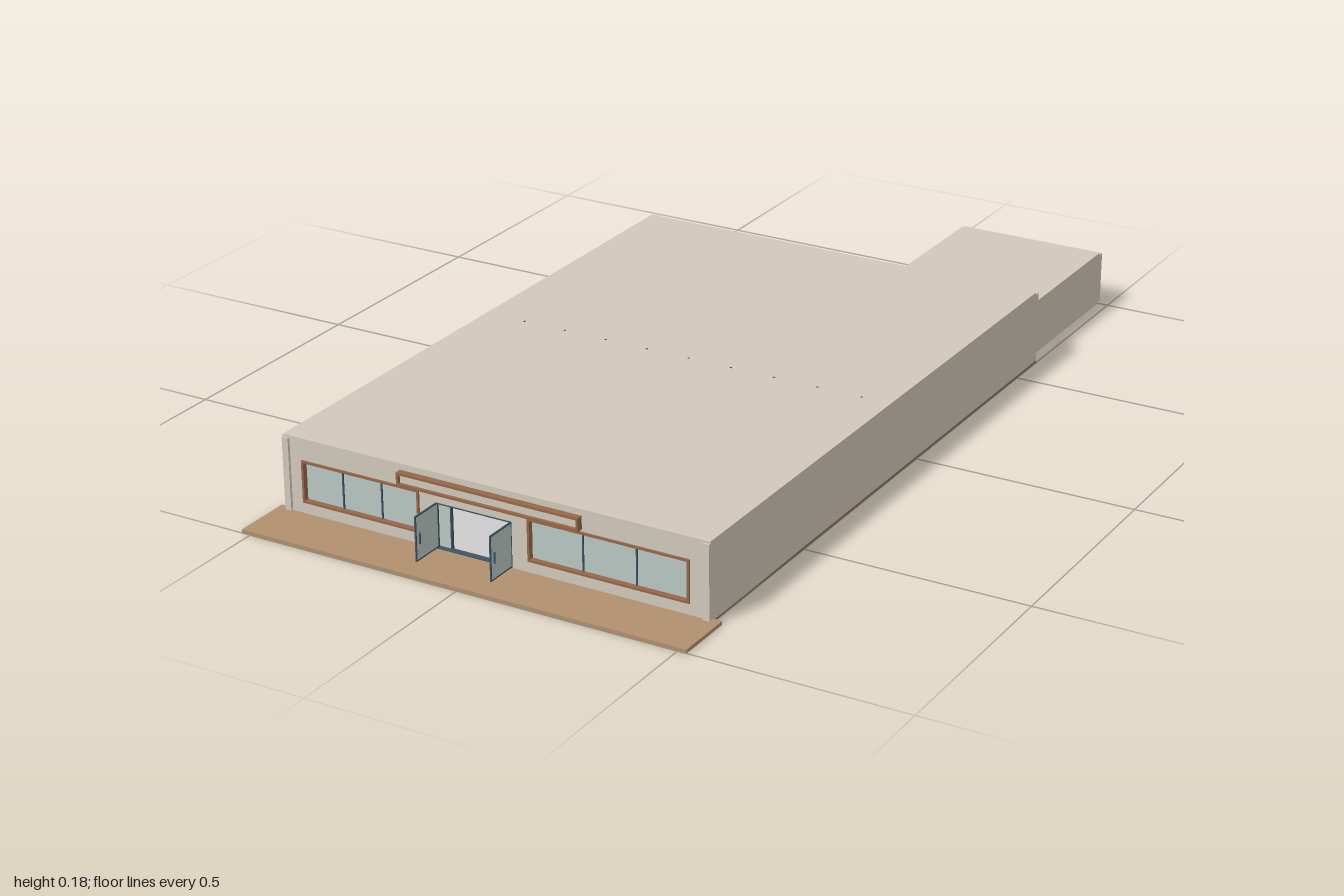
import * as THREE from 'three';

const mat = (color) => new THREE.MeshStandardMaterial({ color });
const WALL = mat(0xd1c8ba), WOOD = mat(0xb09070), TRIM = mat(0x96674a);
const GLASS = mat(0xb9c7c3), STEEL = mat(0x3f5462), TILE = mat(0xc4c4c0), FLOOR = mat(0x8f745c);

// Box given by its extents on each axis
function box(parent, name, material, [x0, x1], [y0, y1], [z0, z1]) {
  const mesh = new THREE.Mesh(new THREE.BoxGeometry(x1 - x0, y1 - y0, z1 - z0), material);
  mesh.position.set((x0 + x1) / 2, (y0 + y1) / 2, (z0 + z1) / 2);
  mesh.name = name;
  parent.add(mesh);
  return mesh;
}

function group(parent, name) {
  const g = new THREE.Group();
  g.name = name;
  parent.add(g);
  return g;
}

function rectPath(PathType, x0, x1, y0, y1) {
  const p = new PathType();
  p.moveTo(x0, y0);
  p.lineTo(x1, y0);
  p.lineTo(x1, y1);
  p.lineTo(x0, y1);
  p.closePath();
  return p;
}

// Upright panel with rectangular openings, spanning z0..z1
function panel(parent, name, material, rect, holes, z0, z1) {
  const shape = rectPath(THREE.Shape, ...rect);
  holes.forEach((h) => shape.holes.push(rectPath(THREE.Path, ...h)));
  const geo = new THREE.ExtrudeGeometry(shape, { depth: z1 - z0, bevelEnabled: false });
  const mesh = new THREE.Mesh(geo, material);
  mesh.position.z = z0;
  mesh.name = name;
  parent.add(mesh);
}

const inset = ([x0, x1, y0, y1], d) => [x0 + d, x1 - d, y0 + d, y1 - d];

export function createModel() {
  const model = new THREE.Group();
  model.name = 'shopBuilding';

  // Ground slab, porch and interior floor
  box(model, 'foundation', FLOOR, [-0.5, 0.5], [0, 0.006], [-0.6, 0.87]);
  box(model, 'porch', WOOD, [-0.52, 0.52], [0, 0.008], [0.865, 1]);
  box(model, 'interiorFloor', TILE, [-0.48, 0.48], [0.006, 0.01], [-0.58, 0.862]);

  // Shell: side walls, roof, back wall and pierced front wall
  for (const s of [-1, 1]) {
    const xs = [s * 0.485, s * 0.5].sort((a, b) => a - b);
    box(model, 'sideWall', WALL, xs, [0.004, 0.171], [-0.6, 0.88]);
  }
  box(model, 'roof', WALL, [-0.5, 0.5], [0.169, 0.176], [-0.586, 0.876]);
  box(model, 'backWall', WALL, [-0.485, 0.485], [0.004, 0.169], [-0.599, -0.584]);

  const windows = [
    { rect: [-0.456, -0.169, 0.033, 0.127], mullions: [-0.36, -0.265] },
    { rect: [0.087, 0.454, 0.033, 0.127], mullions: [0.21, 0.332] },
  ];
  const door = [-0.13, 0.049, 0.008, 0.109];
  panel(model, 'frontWall', WALL, [-0.485, 0.485, 0.006, 0.17],
    [...windows.map((w) => w.rect), door], 0.858, 0.874);

  // Shop windows
  for (const { rect, mullions } of windows) {
    const g = group(model, 'shopWindow');
    const pane = inset(rect, 0.005);
    panel(g, 'windowFrame', TRIM, rect, [pane], 0.858, 0.878);
    box(g, 'windowGlass', GLASS, pane.slice(0, 2), pane.slice(2), [0.862, 0.866]);
    for (const x of mullions) {
      box(g, 'mullion', STEEL, [x - 0.0015, x + 0.0015], pane.slice(2), [0.862, 0.869]);
    }
  }

  // Entrance: frame, sidelight and two leaves standing open
  const entrance = group(model, 'entrance');
  panel(entrance, 'doorFrame', STEEL, door, [inset(door, 0.002)], 0.86, 0.876);
  box(entrance, 'sidelight', GLASS, [-0.128, -0.1], [0.011, 0.107], [0.864, 0.867]);
  box(entrance, 'sidelightPost', STEEL, [-0.1, -0.097], [0.01, 0.108], [0.862, 0.869]);
  for (const x of [-0.13, 0.046]) {
    const leaf = group(entrance, 'doorLeaf');
    box(leaf, 'doorGlass', GLASS, [x + 0.0005, x + 0.0025], [0.012, 0.107], [0.872, 0.948]);
    for (const z of [0.87, 0.947]) {
      box(leaf, 'doorStile', STEEL, [x, x + 0.003], [0.01, 0.109], [z, z + 0.003]);
    }
    for (const y of [0.01, 0.106]) {
      box(leaf, 'doorRail', STEEL, [x, x + 0.003], [y, y + 0.003], [0.87, 0.95]);
    }
    box(leaf, 'doorHandle', STEEL, [x - 0.002, x + 0.005], [0.045, 0.07], [0.936, 0.939]);
  }

  // Display shelving seen through the doorway
  const shelving = group(model, 'shelving');
  box(shelving, 'shelfBack', WALL, [-0.2, 0.2], [0.01, 0.13], [0.6, 0.605]);
  for (const y of [0.016, 0.048, 0.079]) {
    box(shelving, 'shelf', STEEL, [-0.2, 0.2], [y, y + 0.003], [0.6, 0.64]);
  }

  // Plain signboard above the entrance
  const sign = group(model, 'signboard');
  const board = [-0.214, 0.212, 0.132, 0.161];
  panel(sign, 'signFrame', TRIM, board, [inset(board, 0.005)], 0.87, 0.889);
  box(sign, 'signPanel', WALL, [-0.21, 0.208], [0.136, 0.157], [0.87, 0.882]);

  // Row of small fixings through the roof
  for (let i = 0; i < 9; i++) {
    const x = -0.4 + i * 0.104;
    box(model, 'roofFixing', STEEL, [x - 0.002, x + 0.002], [0.16, 0.1768], [0.125, 0.129]);
  }

  // Rear annex with a slightly lower end wall
  const annex = group(model, 'annex');
  box(annex, 'annexBody', WALL, [0.125, 0.48], [0.005, 0.133], [-0.985, -0.599]);
  box(annex, 'annexEndWall', WALL, [0.125, 0.48], [0.008, 0.128], [-1, -0.985]);

  return model;
}
